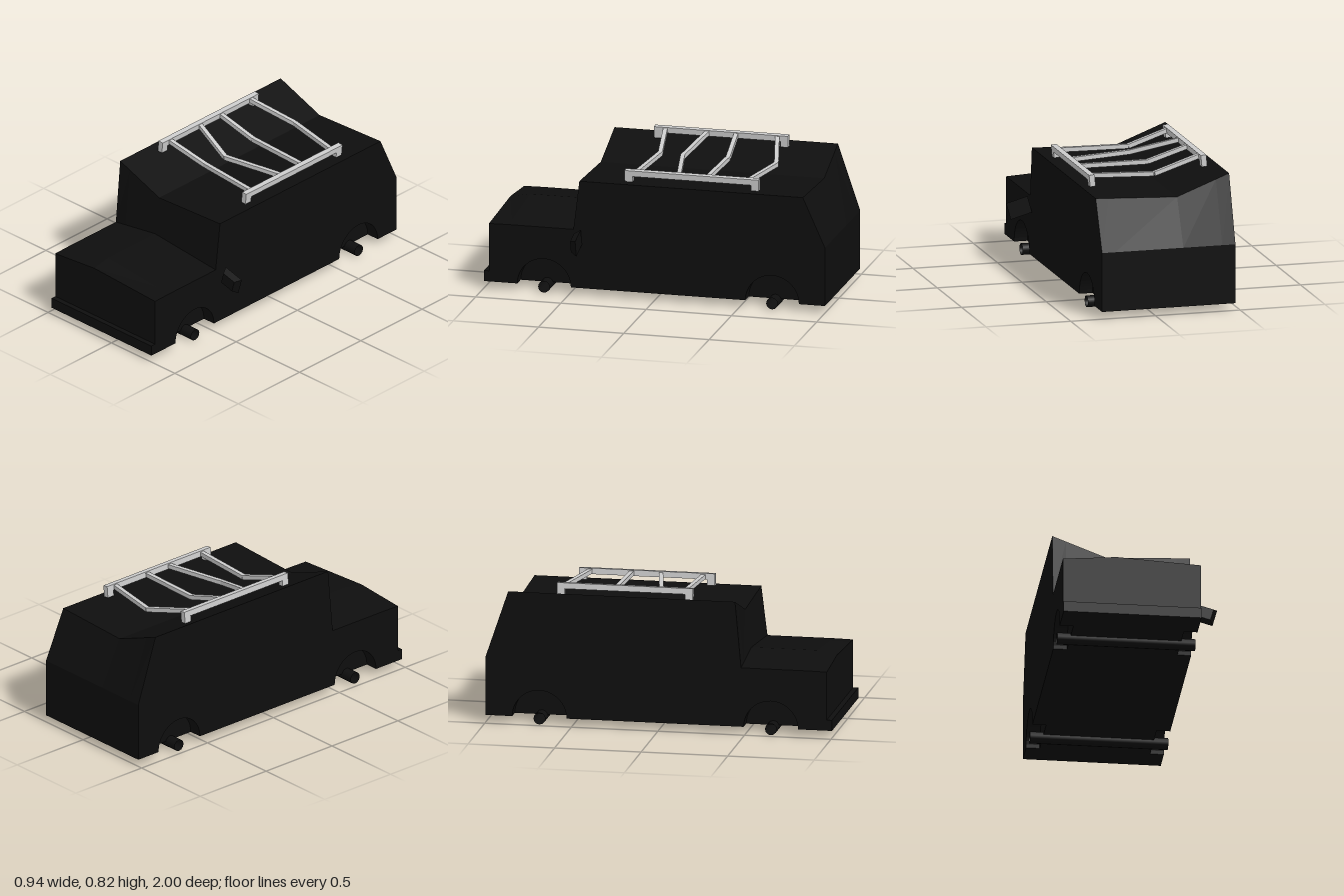
import * as THREE from 'three';

const LEFT = 0.315, RIGHT = -0.472, RIDGE = -0.165, WELL_DEPTH = 0.078;
const AXLES = [0.647, -0.69];

const black = new THREE.MeshStandardMaterial({ color: 0x0e0e0e, flatShading: true });
const blackOpen = new THREE.MeshStandardMaterial({ color: 0x0e0e0e, side: THREE.DoubleSide });
const grey = new THREE.MeshStandardMaterial({ color: 0xcccccc, flatShading: true });

function add(parent, name, geometry, material) {
  const mesh = new THREE.Mesh(geometry, material);
  mesh.name = name;
  parent.add(mesh);
  return mesh;
}

// height at x for a surface creased along the ridge line
function creased(x, right, ridge, left) {
  return x < RIDGE
    ? THREE.MathUtils.mapLinear(x, RIGHT, RIDGE, right, ridge)
    : THREE.MathUtils.mapLinear(x, RIDGE, LEFT, ridge, left);
}

// one slice of the body: side profile extruded across x, top bent to the crease
function bodySlice(x0, x1, arches) {
  const s = new THREE.Shape();
  s.moveTo(-0.97, 0.042);
  if (arches) for (const z of AXLES) {
    s.lineTo(-z - 0.157, 0.042);
    s.absarc(-z, 0.042, 0.157, Math.PI, 0, true);
  }
  s.lineTo(1, 0.042);
  s.lineTo(1, 0.385);
  s.lineTo(0.87, 0.7);
  s.lineTo(-0.44, 0.7);
  s.lineTo(-0.475, 0.42);
  s.lineTo(-0.855, 0.42);
  s.lineTo(-0.97, 0.4);
  const g = new THREE.ExtrudeGeometry(s, { depth: x1 - x0, bevelEnabled: false, curveSegments: 12 });
  g.rotateY(Math.PI / 2).translate(x0, 0, 0);
  const p = g.attributes.position;
  for (let i = 0; i < p.count; i++) {
    const x = p.getX(i), y = p.getY(i);
    if (y > 0.6) p.setY(i, creased(x, 0.77, 0.652, 0.673));
    else if (y > 0.41) p.setY(i, creased(x, 0.386, 0.432, 0.386));
    else if (y > 0.39) p.setY(i, creased(x, 0.384, 0.41, 0.384));
  }
  g.computeVertexNormals();
  return g;
}

// square bar between two points
function bar(parent, a, b, size) {
  const d = b.clone().sub(a);
  const m = add(parent, 'crossbarHalf', new THREE.BoxGeometry(size, size, d.length()), grey);
  m.position.copy(a).add(b).multiplyScalar(0.5);
  m.lookAt(b);
}

export function createModel() {
  const model = new THREE.Group();
  model.name = 'van';

  // body: two arched side panels and a creased core
  const body = new THREE.Group();
  body.name = 'body';
  model.add(body);
  const inR = RIGHT + WELL_DEPTH, inL = LEFT - WELL_DEPTH;
  add(body, 'rightPanel', bodySlice(RIGHT, inR, true), black);
  add(body, 'coreRight', bodySlice(inR, RIDGE, false), black);
  add(body, 'coreLeft', bodySlice(RIDGE, inL, false), black);
  add(body, 'leftPanel', bodySlice(inL, LEFT, true), black);

  const bumper = add(model, 'frontBumper', new THREE.BoxGeometry(LEFT - RIGHT, 0.062, 0.03), black);
  bumper.position.set((LEFT + RIGHT) / 2, 0.073, 0.985);

  // axles
  for (const z of AXLES) {
    const g = new THREE.CylinderGeometry(0.034, 0.034, 0.79, 12, 1, true);
    const axle = add(model, 'axle', g.rotateZ(Math.PI / 2), blackOpen);
    axle.position.set(-0.076, 0.034, z);
  }

  // wing mirror: box tapering toward the front
  const mg = new THREE.BoxGeometry(0.13, 0.1, 0.036);
  const mp = mg.attributes.position;
  for (let i = 0; i < mp.count; i++) {
    if (mp.getZ(i) > 0) mp.setXY(i, mp.getX(i) * 0.68, mp.getY(i) * 0.68);
  }
  mg.computeVertexNormals();
  const mirror = add(model, 'wingMirror', mg, black);
  mirror.position.set(0.395, 0.33, 0.442);
  mirror.rotation.z = -0.27;

  // roof rack: tilted rails with a foot at each end
  const rack = new THREE.Group();
  rack.name = 'roofRack';
  model.add(rack);
  for (const [x, y] of [[-0.402, 0.785], [0.257, 0.712]]) {
    const side = new THREE.Group();
    side.name = 'rackRail';
    side.position.set(x, y, -0.207);
    side.rotation.z = -0.1;
    rack.add(side);
    add(side, 'rail', new THREE.BoxGeometry(0.032, 0.034, 0.785), grey).position.y = 0.017;
    for (const s of [-1, 1]) {
      const foot = add(side, 'foot', new THREE.BoxGeometry(0.032, 0.034, 0.045), grey);
      foot.position.set(0, -0.017, s * 0.37);
    }
  }

  // bent crossbars: z at the ends, then x and z of the bend
  const bars = [[-0.535, -0.105, -0.605], [-0.295, -0.15, -0.31], [-0.127, -0.12, -0.052], [0.12, -0.15, 0.087]];
  for (const [zEnd, xMid, zMid] of bars) {
    const mid = new THREE.Vector3(xMid, 0.732, zMid);
    bar(rack, new THREE.Vector3(-0.392, 0.803, zEnd), mid, 0.025);
    bar(rack, mid, new THREE.Vector3(0.248, 0.729, zEnd), 0.025);
  }
  return model;
}
